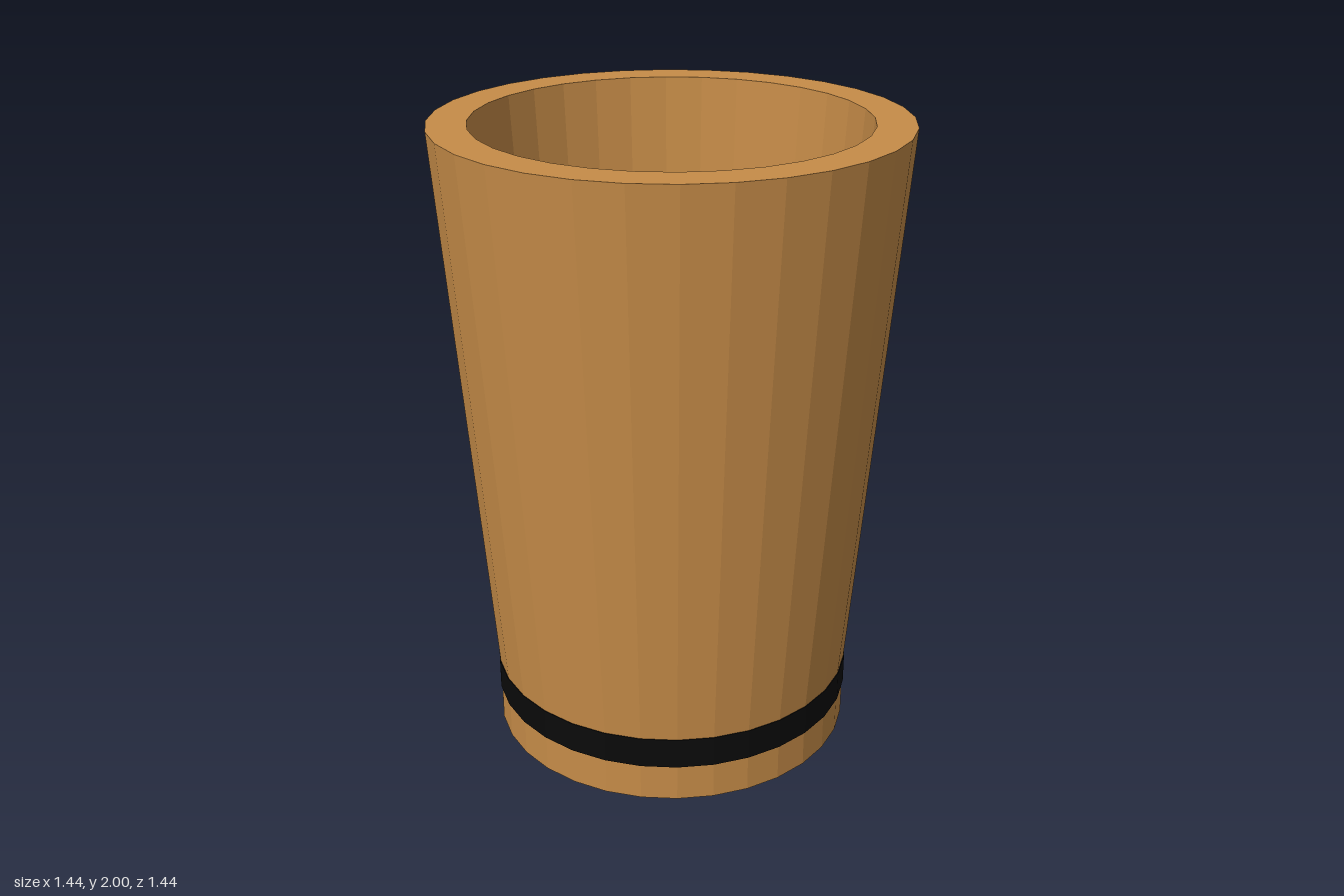
import * as THREE from 'three';

const SIDES = 32;

// Revolve a [radius, height] profile into a faceted solid
function turned(name, profile, material) {
  const points = profile.map(([r, y]) => new THREE.Vector2(r, y));
  const mesh = new THREE.Mesh(new THREE.LatheGeometry(points, SIDES), material);
  mesh.name = name;
  return mesh;
}

export function createModel() {
  const group = new THREE.Group();
  group.name = 'cup';

  const wood = new THREE.MeshStandardMaterial({ color: 0xc68c48, flatShading: true });
  const black = new THREE.MeshStandardMaterial({ color: 0x0a0a0a, flatShading: true });

  // Straight foot with the closed underside
  group.add(turned('base', [[0, 0], [0.58, 0], [0.58, 0.2]], wood));

  // Flared wall, flat rim, hollow inside and floor
  group.add(turned('body', [
    [0.58, 0.2], [0.72, 2], [0.6, 2], [0.48, 0.2], [0, 0.2],
  ], wood));

  // Dark band around the foot
  group.add(turned('band', [
    [0.579, 0.12], [0.584, 0.12], [0.584, 0.22], [0.579, 0.22],
  ], black));

  return group;
}
